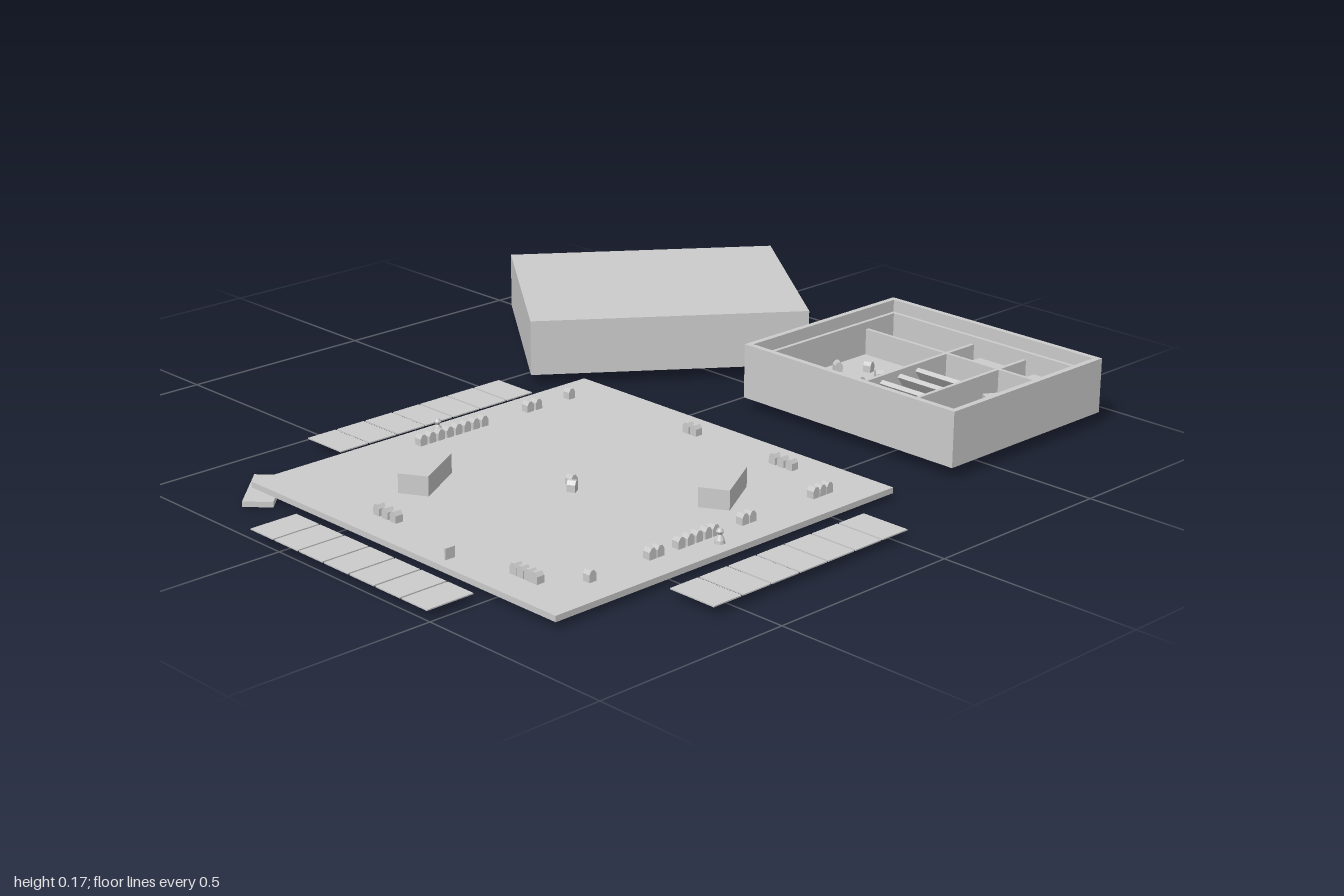
import * as THREE from 'three';

const material = new THREE.MeshStandardMaterial({ color: 0xcccccc, flatShading: true });

export function createModel() {
  const root = new THREE.Group();
  root.name = 'boardGame';

  const add = (name, geometry, x, y, z, ry = 0, parent = root) => {
    const mesh = new THREE.Mesh(geometry, material);
    mesh.name = name;
    mesh.position.set(x, y, z);
    mesh.rotation.y = ry;
    parent.add(mesh);
    return mesh;
  };
  // Box standing on height y
  const box = (name, w, h, d, x, y, z, ry = 0, parent = root) =>
    add(name, new THREE.BoxGeometry(w, h, d), x, y + h / 2, z, ry, parent);
  // Rectangular frame of walls standing on height y
  const frame = (name, w, h, d, t, y, parent) => {
    const shape = new THREE.Shape([[-1, -1], [1, -1], [1, 1], [-1, 1]]
      .map(([a, b]) => new THREE.Vector2(a * w / 2, b * d / 2)));
    shape.holes.push(new THREE.Path([[-1, -1], [-1, 1], [1, 1], [1, -1]]
      .map(([a, b]) => new THREE.Vector2(a * (w / 2 - t), b * (d / 2 - t)))));
    const g = new THREE.ExtrudeGeometry(shape, { depth: h, bevelEnabled: false });
    g.rotateX(-Math.PI / 2);
    return add(name, g, 0, y, 0, 0, parent);
  };

  // Playing board
  const top = 0.029;
  box('board', 1.016, 0.014, 1.012, -0.332, 0.015, 0.194);

  // Card rows around three sides of the board
  for (let i = 0; i < 7; i++) {
    const s = i * 0.0853;
    box('backCard', 0.08, 0.003, 0.123, -0.527 + s, 0.02, -0.399);
    box('frontCard', 0.08, 0.003, 0.126, -0.527 + s, 0.02, 0.811);
    box('sideCard', 0.123, 0.003, 0.08, -0.937, 0.02, -0.062 + s);
  }
  box('cornerDeck', 0.167, 0.013, 0.07, -0.82, 0, -0.295, 0.77);

  // Card decks on the board
  box('deck', 0.15, 0.047, 0.072, -0.563, top, -0.038, 0.52);
  box('deck', 0.15, 0.047, 0.072, -0.14, top, 0.478, 0.52);

  // House-shaped tokens along the board edges
  const house = new THREE.ExtrudeGeometry(new THREE.Shape([
    [-0.01, 0], [0.01, 0], [0.01, 0.017], [0.004, 0.026], [-0.004, 0.026], [-0.01, 0.017],
  ].map(([x, y]) => new THREE.Vector2(x, y))), { depth: 0.02, bevelEnabled: false });
  house.translate(0, 0, -0.01);
  const token = (x, z, ry = 0) => add('houseToken', house, x, top, z, ry);
  for (let i = 0; i < 8; i++) token(-0.413 + i * 0.0267, -0.232);
  [-0.082, -0.055, 0.052].forEach(x => token(x, -0.232));
  [-0.67, -0.498, -0.475, -0.413, -0.386, -0.36, -0.333, -0.31, -0.22, -0.197, 0.004, 0.026, 0.048]
    .forEach(x => token(x, 0.617));
  [0.037, 0.066, 0.094, 0.485, 0.507, 0.53, 0.55].forEach(z => token(-0.754, z, Math.PI / 2));
  [0.136, 0.16, 0.415, 0.441, 0.467].forEach(z => token(0.094, z, Math.PI / 2));
  token(-0.333, 0.195);
  token(-0.357, 0.224, 0.5);

  // Pawns and a thin standing marker
  const pawn = new THREE.LatheGeometry([[0, 0], [0.012, 0], [0.011, 0.008], [0.005, 0.02],
    [0.009, 0.027], [0.005, 0.034], [0, 0.035]].map(([x, y]) => new THREE.Vector2(x, y)), 10);
  [-0.268, 0.66].forEach(z => add('pawn', pawn, -0.333, top, z));
  box('marker', 0.026, 0.026, 0.004, -0.803, top, 0.33);

  // Box lid, open underneath
  const lid = new THREE.Group();
  lid.name = 'lid';
  lid.position.set(0.546, 0, -0.4415);
  lid.rotation.y = -0.639;
  root.add(lid);
  frame('lidWalls', 0.697, 0.13, 0.571, 0.014, 0.029, lid);
  box('lidTop', 0.697, 0.01, 0.571, 0, 0.159, 0, 0, lid);

  // Box base with its insert
  const tray = new THREE.Group();
  tray.name = 'tray';
  tray.position.set(0.632, 0, 0.385);
  root.add(tray);
  frame('trayWalls', 0.54, 0.136, 0.657, 0.015, 0.029, tray);
  box('trayFloor', 0.51, 0.02, 0.627, 0, 0.029, 0, 0, tray);
  frame('insertWalls', 0.51, 0.085, 0.627, 0.01, 0.049, tray);
  box('longDivider', 0.01, 0.066, 0.607, 0.146, 0.049, 0, 0, tray);
  [-0.046, 0.117].forEach(z => box('crossDivider', 0.49, 0.066, 0.01, 0, 0.049, z, 0, tray));

  // Leaning card packs in the middle compartment
  for (let i = 0; i < 5; i++) {
    const pack = box('leaningPack', 0.012, 0.062, 0.148, -0.212 + i * 0.0645, 0.047, 0.036, 0, tray);
    pack.rotation.z = 0.65;
  }

  // Decks stored in the side and front compartments
  box('storedDeck', 0.075, 0.04, 0.11, 0.198, 0.049, 0.041, 0, tray);
  box('storedDeck', 0.075, 0.04, 0.11, 0.198, 0.049, 0.21, 0, tray);
  box('looseDeck', 0.086, 0.035, 0.103, 0.06, 0.049, 0.217, -0.52, tray);

  // Loose pieces scattered in the back compartment
  [[0.452, 0.125], [0.548, 0.12], [0.628, 0.12], [0.442, 0.179], [0.543, 0.174], [0.682, 0.174],
    [0.447, 0.232], [0.586, 0.232], [0.655, 0.232], [0.431, 0.302], [0.527, 0.302], [0.618, 0.296],
    [0.719, 0.272], [0.757, 0.272]]
    .forEach(([x, z], i) => add('loosePiece', house, x, 0.049, z, i * 1.3));

  return root;
}
